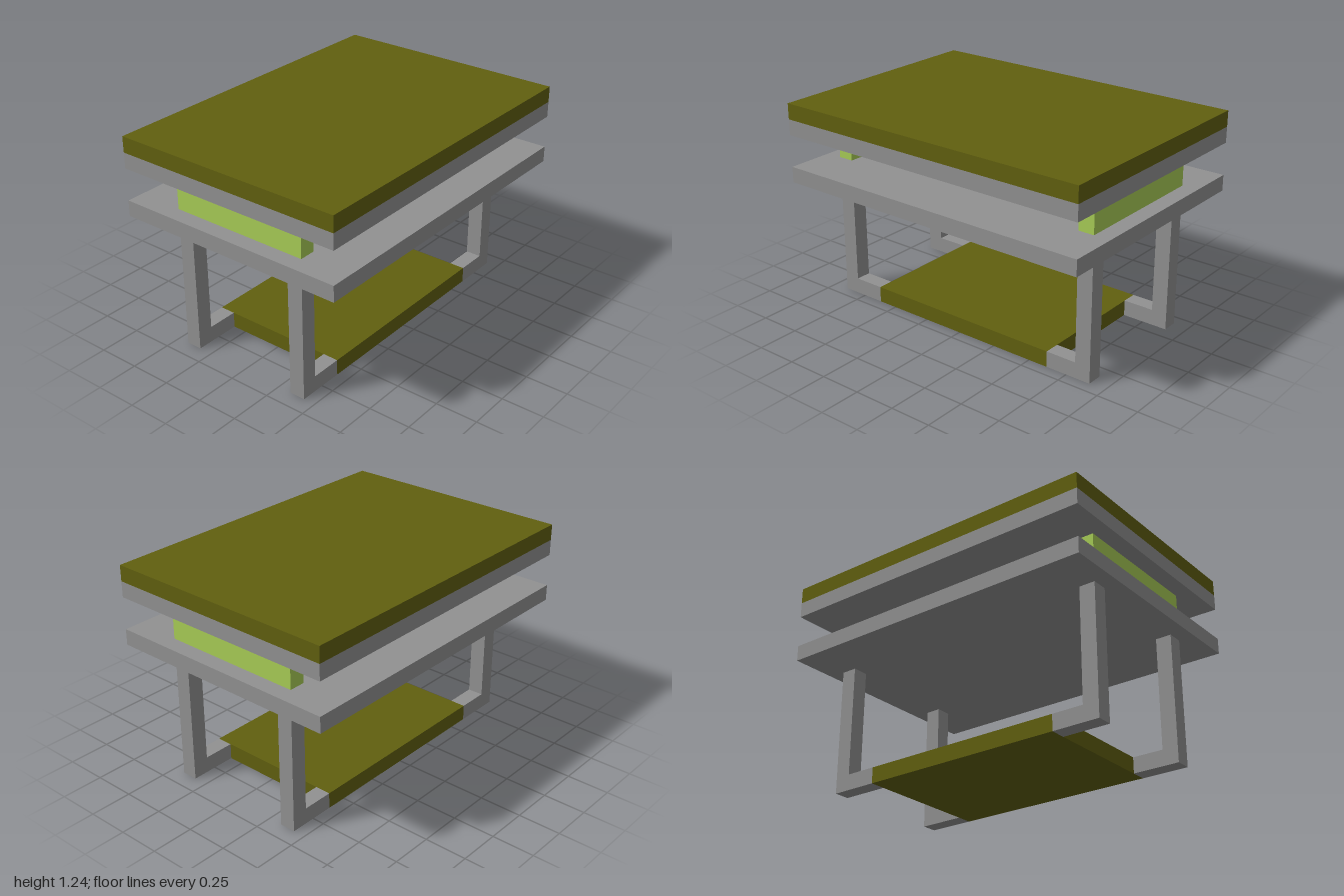
import * as THREE from 'three';

function material(name, color) {
  const m = new THREE.MeshStandardMaterial({ color });
  m.name = name;
  return m;
}

export function createModel() {
  const model = new THREE.Group();
  model.name = 'table';
  const grey = material('grey', 0x919191);
  const olive = material('olive', 0x61600f);
  const green = material('lightGreen', 0xa8cd56);

  // Box given by its lower and upper limits on each axis
  function box(name, mat, [x0, x1], [y0, y1], [z0, z1]) {
    const mesh = new THREE.Mesh(new THREE.BoxGeometry(x1 - x0, y1 - y0, z1 - z0), mat);
    mesh.position.set((x0 + x1) / 2, (y0 + y1) / 2, (z0 + z1) / 2);
    mesh.name = name;
    model.add(mesh);
  }
  // Limits of a span mirrored to either side of the centre
  const side = (s, a, b) => (s > 0 ? [a, b] : [-b, -a]);

  const fullX = [-1, 1], fullZ = [-0.713, 0.713];
  const inner = 0.334, outer = 0.428; // leg limits in z
  const legIn = 0.807, legOut = 0.902; // leg limits in x

  // Stacked slabs
  box('tabletop', olive, fullX, [1.146, 1.241], fullZ);
  box('tabletopBase', grey, fullX, [1.052, 1.146], fullZ);
  box('middleShelf', grey, fullX, [0.764, 0.859], fullZ);
  box('lowerShelf', olive, [-0.62, 0.62], [0, 0.095], [-outer, outer]);

  for (const sx of [1, -1]) {
    // Spacer walls between tabletop and middle shelf
    box('spacer', green, side(sx, legIn, legOut), [0.859, 1.052], [-outer, outer]);
    // Legs with feet reaching in to the lower shelf
    for (const sz of [1, -1]) {
      box('leg', grey, side(sx, legIn, legOut), [0, 0.764], side(sz, inner, outer));
      box('foot', grey, side(sx, 0.62, legIn), [0, 0.095], side(sz, inner, outer));
    }
  }
  return model;
}
